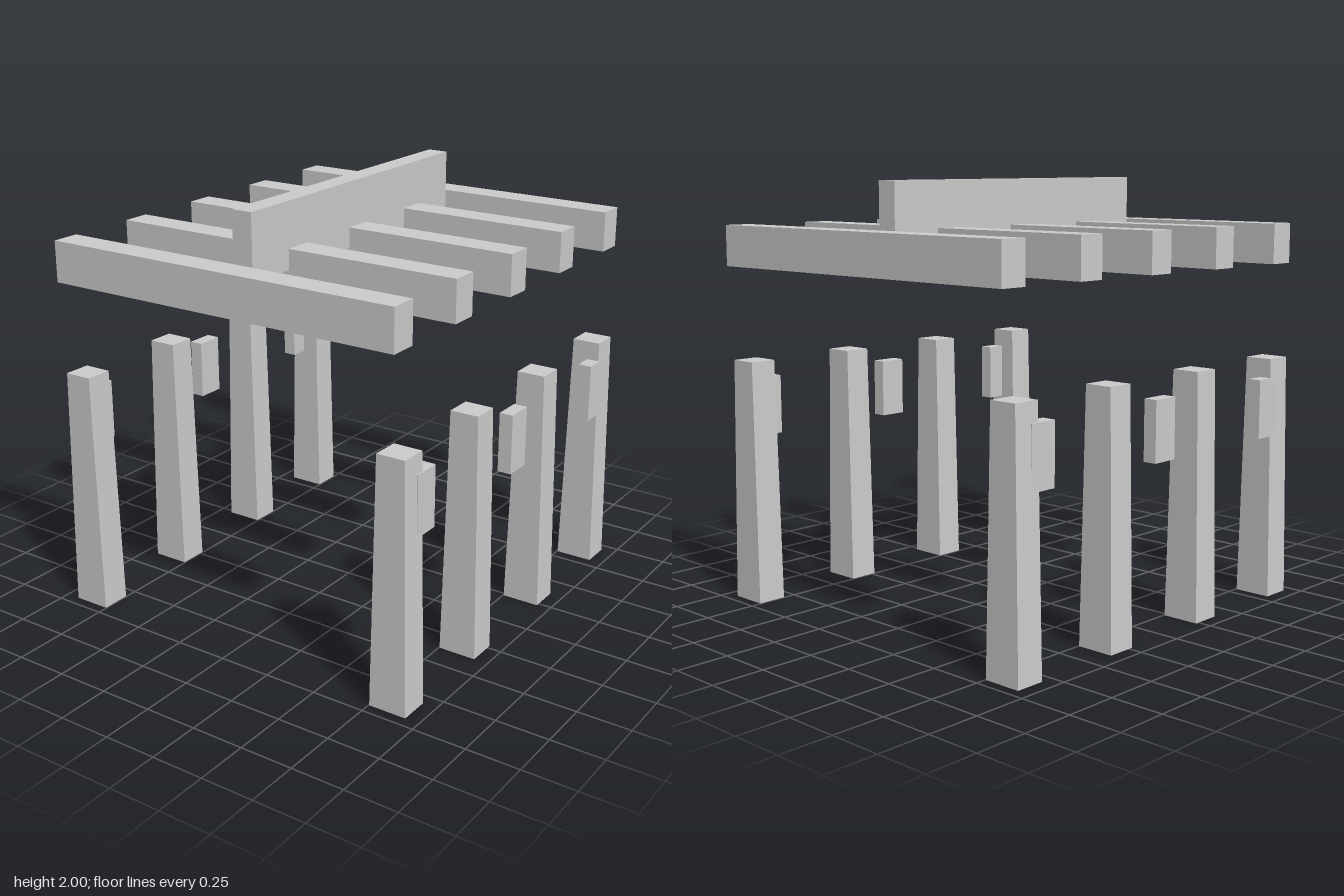
import * as THREE from 'three';

export function createModel() {
  const group = new THREE.Group();
  const material = new THREE.MeshStandardMaterial({ color: 0xcccccc, flatShading: true });

  function add(name, geometry, x, y, z) {
    const mesh = new THREE.Mesh(geometry, material);
    mesh.name = name;
    mesh.position.set(x, y, z);
    group.add(mesh);
  }

  // Post: a box whose upper corners are drawn in
  const postHeight = 1.155;
  const post = new THREE.BoxGeometry(0.18, postHeight, 0.141);
  const p = post.attributes.position;
  for (let i = 0; i < p.count; i++) {
    if (p.getY(i) > 0) {
      p.setX(i, p.getX(i) * 0.75);
      p.setZ(i, p.getZ(i) * 0.92);
    }
  }
  post.computeVertexNormals();

  // Two rows of posts, with small rail blocks between the pairs
  const block = new THREE.BoxGeometry(0.065, 0.28, 0.134);
  for (const side of [1, -1]) {
    const row = side > 0 ? 'left' : 'right';
    for (const z of [-0.879, -0.302, 0.302, 0.879]) {
      add(row + 'Post', post, side * 0.843, postHeight / 2, z);
    }
    for (const z of [-0.787, 0, 0.787]) {
      add(row + 'RailBlock', block, side * 0.885, 0.925, z);
    }
  }

  // Roof cross beams
  const beam = new THREE.BoxGeometry(1.766, 0.19, 0.133);
  for (const z of [-0.923, -0.462, 0, 0.462, 0.923]) {
    add('crossBeam', beam, 0, 1.695, z);
  }

  // Deep ridge beam running front to back, set into the cross beams
  add('ridgeBeam', new THREE.BoxGeometry(0.1, 0.305, 1.566), 0, 1.8475, 0);

  return group;
}
